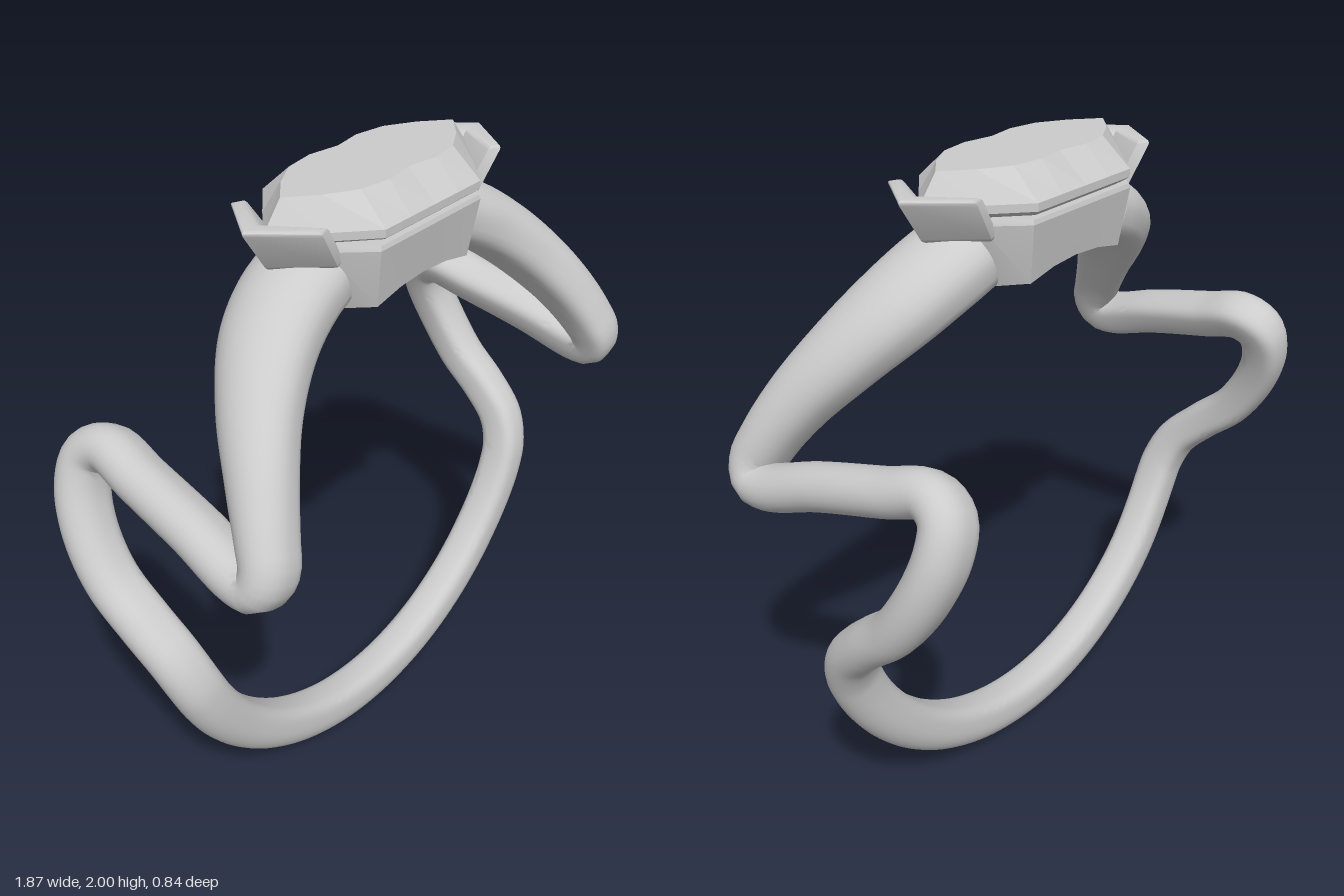
import * as THREE from 'three';
import { toCreasedNormals } from 'three/addons/utils/BufferGeometryUtils.js';

const CY = 0.935, INNER = 0.78, MID = 0.857, CZ = 0.04;
const material = () => new THREE.MeshStandardMaterial({ color: 0xcccccc });

function named(name, geometry) {
  const mesh = new THREE.Mesh(geometry, material());
  mesh.name = name;
  return mesh;
}

// Joins equal-sized closed rings of points into one surface
function loft(rings, crease) {
  const n = rings[0].length, pos = [], index = [];
  rings.forEach(r => r.forEach(p => pos.push(...p)));
  for (let i = 0; i < rings.length - 1; i++) {
    for (let j = 0; j < n; j++) {
      const a = i * n + j, b = i * n + (j + 1) % n;
      index.push(a, a + n, b + n, a, b + n, b);
    }
  }
  const g = new THREE.BufferGeometry();
  g.setAttribute('position', new THREE.Float32BufferAttribute(pos, 3));
  g.setIndex(index);
  return toCreasedNormals(g, crease);
}

// Zigzag band: a D-shaped section swept over the finger cylinder
function bandGeometry() {
  const fromY = y => Math.acos((CY - y) / MID);
  // [angle from the bottom, z, swelling]
  const half = [[0.4, 0.04, 0], [0.8, 0.04, 0]];
  [
    [0.58, 0.04, 0], [0.66, 0.03, 0], [0.75, -0.01, 0], [0.84, -0.1, 0], [0.94, -0.215, 0],
    [1.08, -0.305, 0], [1.2, -0.345, 0], [1.285, -0.335, 0], [1.322, -0.27, 0],
    [1.29, -0.13, 0], [1.235, 0.1, 0], [1.18, 0.28, 0], [1.185, 0.335, 0],
    [1.235, 0.352, 0.05], [1.3, 0.325, 0.12], [1.41, 0.26, 0.3], [1.54, 0.165, 0.6],
    [1.65, 0.085, 0.9], [1.715, 0.05, 1], [1.745, 0.04, 1],
  ].forEach(([y, z, g]) => half.push([fromY(y), z, g]));
  const right = half.map(([a, z, g]) => new THREE.Vector3(a * MID, z, g * 0.1));
  const left = right.map(p => new THREE.Vector3(-p.x, p.y, p.z)).reverse();
  const path = new THREE.CatmullRomCurve3([...left, new THREE.Vector3(0, 0.04, 0), ...right]);
  path.arcLengthDivisions = 1000;

  const STEPS = 320, SIDES = 28, rings = [];
  for (let i = 0; i <= STEPS; i++) {
    const p = path.getPointAt(i / STEPS), t = path.getTangentAt(i / STEPS);
    const len = Math.hypot(t.x, t.y), swell = p.z * 10;
    const width = 0.068 + 0.074 * swell, outer = 0.935 + 0.045 * swell;
    const mid = (INNER + outer) / 2, h = (outer - INNER) / 2;
    const at = (c, s) => {
      const a = (p.x - t.y / len * width * c) / MID, r = mid + h * s;
      return [r * Math.sin(a), CY - r * Math.cos(a), p.y + t.x / len * width * c];
    };
    const ring = [];
    for (let j = 0; j < SIDES; j++) {
      const a = -j / SIDES * Math.PI * 2, c = Math.cos(a), s = Math.sin(a);
      const k = s < 0 ? 0.6 : 1; // flatter towards the finger
      ring.push(at(Math.sign(c) * Math.abs(c) ** k, Math.sign(s) * Math.abs(s) ** k));
    }
    const centre = ring.map(() => at(0, 0));
    if (i === 0) rings.push(centre);
    rings.push(ring);
    if (i === STEPS) rings.push(centre);
  }
  return loft(rings, 0.8);
}

// Mirrors a quarter outline (tip to middle) into a full ring; y may depend on x
function outline(q, y) {
  const back = q.slice(0, -1).reverse().map(([x, z]) => [-x, z]);
  const front = [...q, ...back];
  const all = [...front, ...front.slice(1, -1).reverse().map(([x, z]) => [x, -z])];
  return all.map(([x, z]) => [x, typeof y === 'function' ? y(x) : y, z + CZ]);
}
const hexagon = (tip, shoulder, depth) => [
  [tip, 0], [(tip + shoulder) / 2, depth / 2], [shoulder, depth], [shoulder / 2, depth], [0, depth],
];

// Faceted marquise stone with a scalloped table
function stoneGeometry() {
  const point = Array(5).fill([0, 0]);
  const table = [[0.37, 0], [0.29, 0.07], [0.2, 0.122], [0.1, 0.138], [0, 0.122]];
  return loft([
    outline(point, 1.79),
    outline(hexagon(0.14, 0.07, 0.06), 1.8),
    outline(hexagon(0.42, 0.2, 0.2), 1.885),
    outline(hexagon(0.44, 0.21, 0.2125), 1.895),
    outline(hexagon(0.44, 0.21, 0.2125), 1.918),
    outline(table, 2),
    outline(point, 2),
  ], 0.02);
}

// Hollow hexagonal setting, cut underneath by the finger cylinder
function settingGeometry() {
  const arc = x => CY + Math.sqrt(INNER * INNER - x * x);
  const bottom = outline(hexagon(0.3, 0.205, 0.183), arc);
  return loft([
    bottom,
    outline(hexagon(0.41, 0.222, 0.208), 1.86),
    outline(hexagon(0.41, 0.218, 0.204), 1.873),
    outline(hexagon(0.34, 0.18, 0.16), 1.873),
    outline(hexagon(0.23, 0.155, 0.125), arc),
    bottom,
  ], 0.3);
}

// V-shaped claw leaning outwards around the stone's tip
function clawGeometry() {
  const b = 0.014, y0 = 1.82, y1 = 1.955;
  const shape = new THREE.Shape([
    [0.5, 0], [0.39, 0.142], [0.372, 0.135], [0.46, 0], [0.372, -0.135], [0.39, -0.142],
  ].map(([x, z]) => new THREE.Vector2(x, z)));
  const g = new THREE.ExtrudeGeometry(shape, {
    depth: y1 - y0 - 2 * b, bevelSize: b, bevelThickness: b, bevelSegments: 4,
  });
  g.rotateX(-Math.PI / 2).translate(0, y0 + b, CZ);
  const p = g.attributes.position;
  for (let i = 0; i < p.count; i++) {
    const down = (y1 - p.getY(i)) / (y1 - y0);
    p.setX(i, p.getX(i) - 0.09 * down);
    p.setZ(i, CZ + (p.getZ(i) - CZ) * (1 - 0.15 * down));
  }
  return toCreasedNormals(g, 0.7);
}

export function createModel() {
  const ring = new THREE.Group();
  ring.name = 'ring';
  ring.add(named('band', bandGeometry()));
  ring.add(named('setting', settingGeometry()));
  ring.add(named('stone', stoneGeometry()));

  const leftClaw = named('leftClaw', clawGeometry());
  const rightClaw = named('rightClaw', clawGeometry());
  rightClaw.rotation.y = Math.PI;
  rightClaw.position.z = 2 * CZ;
  ring.add(leftClaw, rightClaw);
  return ring;
}
